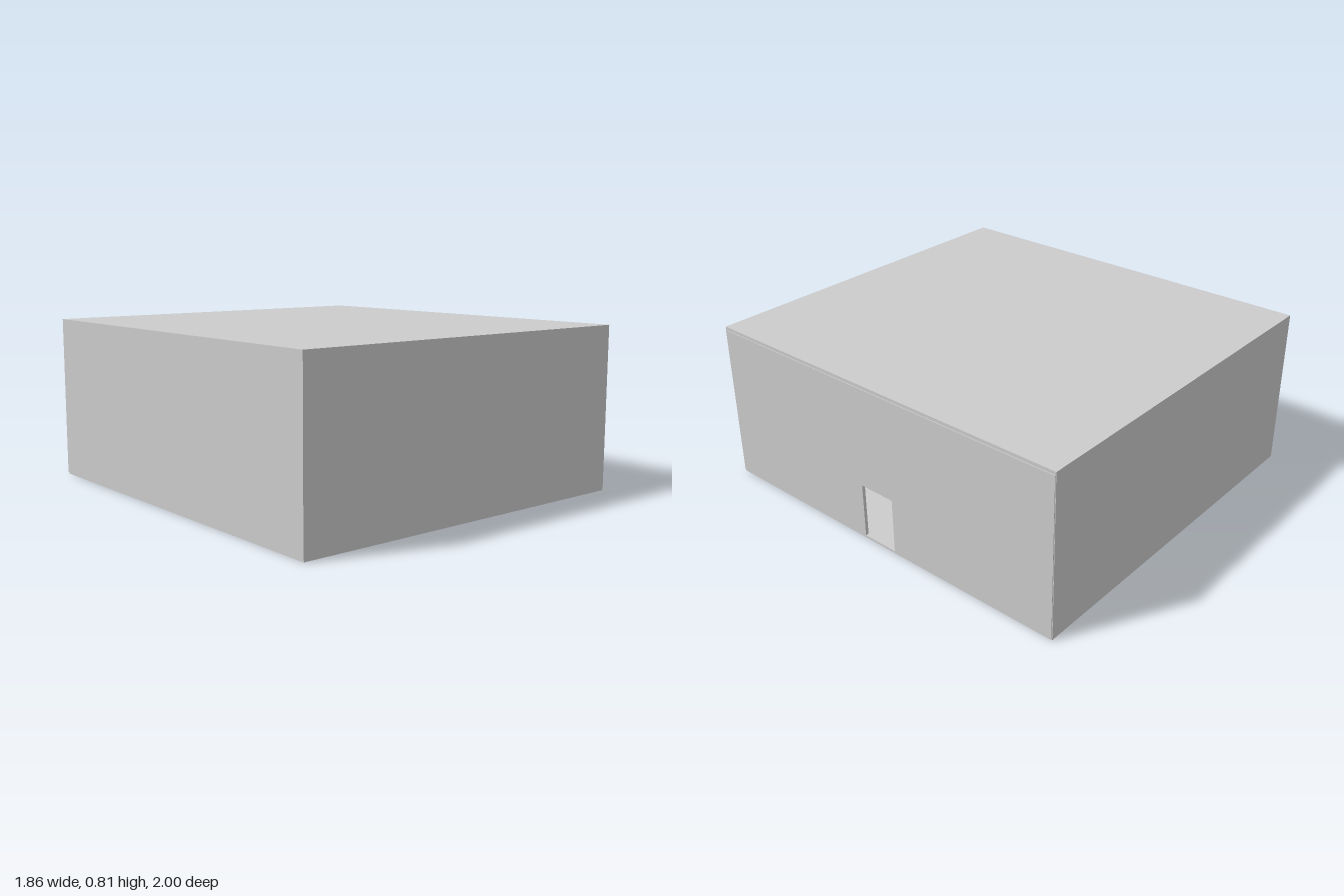
import * as THREE from 'three';

const X = 0.93, Z = 1, TOP = 0.81, T = 0.016;
const BASE = 0.01;

export function createModel() {
  const room = new THREE.Group();
  room.name = 'room';
  const material = new THREE.MeshStandardMaterial({ color: 0xcccccc, flatShading: true });

  const add = (name, geometry) => {
    const mesh = new THREE.Mesh(geometry, material);
    mesh.name = name;
    room.add(mesh);
  };

  // Box given by its lower and upper corners
  const slab = (name, [x0, y0, z0], [x1, y1, z1]) => {
    const geometry = new THREE.BoxGeometry(x1 - x0, y1 - y0, z1 - z0);
    geometry.translate((x0 + x1) / 2, (y0 + y1) / 2, (z0 + z1) / 2);
    add(name, geometry);
  };

  // Floor is set in slightly under the walls; ceiling sits inside three of them
  slab('floor', [-X + 0.004, 0, -Z + 0.003], [X - 0.004, T, Z - 0.003]);
  slab('ceiling', [-X + T, TOP - T, -Z + T], [X - 0.004, TOP, Z - T]);

  // Plain walls
  slab('frontWall', [-X + T, BASE, Z - T], [X - 0.004, TOP, Z]);
  slab('backWall', [-X + T, BASE, -Z], [X - 0.004, TOP, -Z + T]);
  slab('rightWall', [-X, BASE, -Z], [-X + T, TOP, Z]);

  // Wall with the doorway, drawn in the z-y plane and extruded along x
  const w = Z - 0.003, d = 0.095, head = 0.29;
  const outline = new THREE.Shape([
    [-w, BASE], [w, BASE], [w, TOP - T], [-w, TOP - T],
  ].map(([a, b]) => new THREE.Vector2(a, b)));
  outline.holes.push(new THREE.Path([
    [-d, T], [-d, head], [d, head], [d, T],
  ].map(([a, b]) => new THREE.Vector2(a, b))));
  const doorWall = new THREE.ExtrudeGeometry(outline, { depth: T, bevelEnabled: false });
  doorWall.rotateY(Math.PI / 2).translate(X - T, 0, 0);
  add('doorwayWall', doorWall);

  return room;
}
